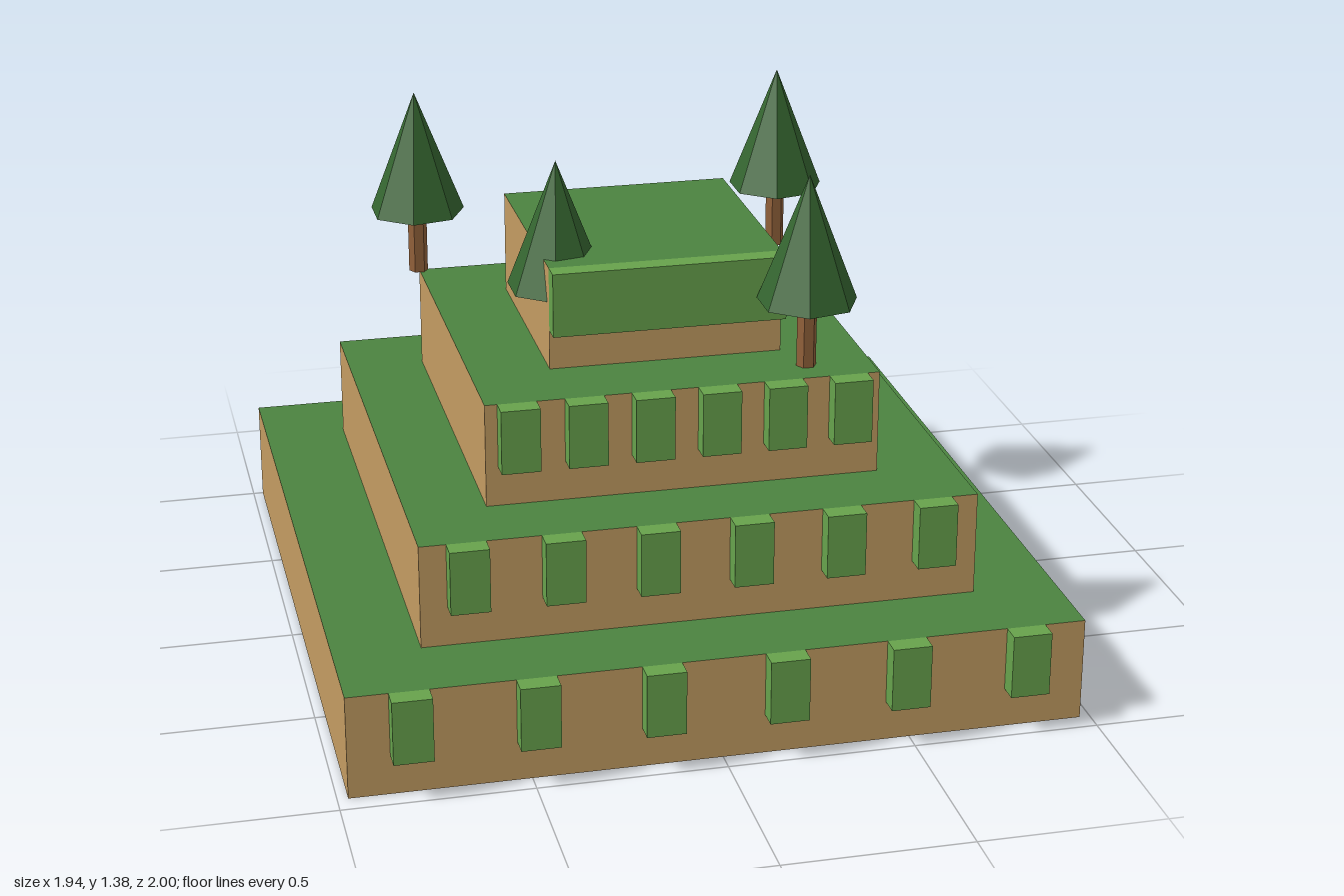
import * as THREE from 'three';

const mat = (name, color) => {
  const m = new THREE.MeshStandardMaterial({ color });
  m.name = name;
  return m;
};

export function createModel() {
  const stone = mat('sandstone', 0xc39c62);
  const grass = mat('grass', 0x4b8340);
  const vine = mat('hangingVine', 0x67a24c);
  const leaf = mat('foliage', 0x356530);
  const bark = mat('bark', 0x91613a);
  leaf.flatShading = bark.flatShading = true;

  const model = new THREE.Group();
  model.name = 'terracedGarden';

  const add = (parent, name, geometry, material, x, y, z) => {
    const mesh = new THREE.Mesh(geometry, material);
    mesh.name = name;
    mesh.position.set(x, y, z);
    parent.add(mesh);
    return mesh;
  };

  // Stepped terraces: stone sides, planted top, vines hanging over the front
  const H = 0.2835, vineH = 0.175, vineD = 0.054;
  const tiers = [
    { halfX: 0.972, back: -1.0, front: 0.946, vineX: 0.81 },
    { halfX: 0.743, back: -0.77, front: 0.716, vineX: 0.62 },
    { halfX: 0.53, back: -0.56, front: 0.506, vineX: 0.445 },
    { halfX: 0.316, back: -0.345, front: 0.292 },
  ];
  tiers.forEach(({ halfX, back, front, vineX }, i) => {
    const tier = new THREE.Group();
    tier.name = `terrace${i + 1}`;
    model.add(tier);
    add(tier, 'terraceBlock', new THREE.BoxGeometry(halfX * 2, H, front - back),
      [stone, stone, grass, stone, stone, stone], 0, (i + 0.5) * H, (front + back) / 2);

    const count = vineX ? 6 : 1;
    const width = vineX ? 0.104 : halfX * 2;
    for (let k = 0; k < count; k++) {
      const x = vineX ? -vineX + (2 * vineX * k) / (count - 1) : 0;
      add(tier, 'hangingVine', new THREE.BoxGeometry(width, vineH, vineD), vine,
        x, (i + 1) * H - vineH / 2, front + vineD / 2);
    }
  });

  // Trees standing on the third terrace
  const trunkH = 0.18, crownH = 0.35;
  const trunk = new THREE.CylinderGeometry(0.027, 0.027, trunkH, 6).rotateY(Math.PI / 2);
  const crown = new THREE.ConeGeometry(0.136, crownH, 7).rotateY(Math.PI / 2);
  for (const [x, z] of [[-0.532, -0.56], [0.53, -0.56], [0.354, 0.413], [-0.267, 0.15]]) {
    const tree = new THREE.Group();
    tree.name = 'tree';
    tree.position.set(x, 3 * H, z);
    add(tree, 'trunk', trunk, bark, 0, trunkH / 2, 0);
    add(tree, 'crown', crown, leaf, 0, trunkH + crownH / 2, 0);
    model.add(tree);
  }
  return model;
}
